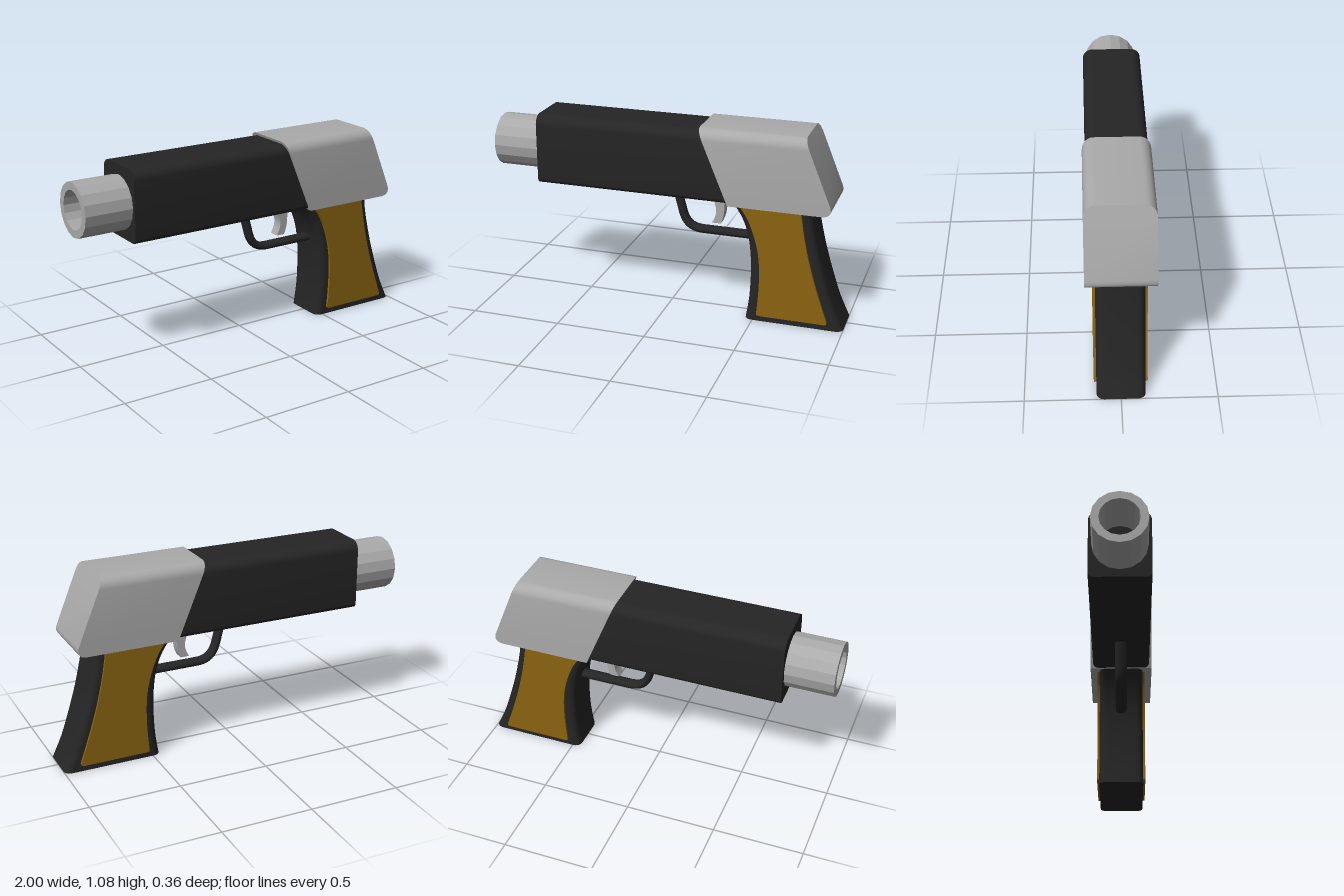
import * as THREE from 'three';
import { toCreasedNormals } from 'three/addons/utils/BufferGeometryUtils.js';

const metal = new THREE.MeshStandardMaterial({ color: 0xaaaaaa });
metal.name = 'grey metal';
const black = new THREE.MeshStandardMaterial({ color: 0x252525 });
black.name = 'black';
const wood = new THREE.MeshStandardMaterial({ color: 0x8b6510 });
wood.name = 'brown wood';

const v2 = pts => pts.map(p => new THREE.Vector2(...p));

// Skins a stack of rings ([x, y, z] points, counter-clockwise from above) and caps both ends
function loft(rings) {
  const pos = [], n = rings[0].length;
  const tri = (a, b, c) => pos.push(...a, ...b, ...c);
  for (let r = 0; r < rings.length - 1; r++) {
    const lo = rings[r], hi = rings[r + 1];
    for (let i = 0; i < n; i++) {
      const j = (i + 1) % n;
      tri(lo[i], lo[j], hi[j]);
      tri(lo[i], hi[j], hi[i]);
    }
  }
  const bottom = rings[0], top = rings[rings.length - 1];
  for (let i = 1; i < n - 1; i++) {
    tri(bottom[0], bottom[i + 1], bottom[i]);
    tri(top[0], top[i], top[i + 1]);
  }
  const g = new THREE.BufferGeometry();
  g.setAttribute('position', new THREE.Float32BufferAttribute(pos, 3));
  return toCreasedNormals(g, 0.6);
}

// Rounded rectangle ring between x0 and x1 at height y
function roundedRing(x0, x1, y, w, r) {
  const ring = [];
  const corners = [[x1 - r, r - w], [x0 + r, r - w], [x0 + r, w - r], [x1 - r, w - r]];
  corners.forEach(([cx, cz], q) => {
    for (let k = 0; k <= 5; k++) {
      const a = (q + k / 5) * Math.PI / 2;
      ring.push([cx + r * Math.cos(a), y, cz - r * Math.sin(a)]);
    }
  });
  return ring;
}

// Extrudes a side profile symmetrically about z = 0
function plate(shape, width) {
  const g = new THREE.ExtrudeGeometry(shape, { depth: width, bevelEnabled: false, curveSegments: 10 });
  g.translate(0, 0, -width / 2);
  return toCreasedNormals(g, 0.6);
}

export function createModel() {
  const group = new THREE.Group();
  const add = (name, geo, mat) => {
    const m = new THREE.Mesh(geo, mat);
    m.name = name;
    group.add(m);
    return m;
  };

  // Long body with rounded edges
  const w = 0.165, y0 = 0.675, y1 = 1.065, rt = 0.055, rb = 0.03;
  const section = new THREE.Shape();
  section.moveTo(-w + rb, y0);
  section.lineTo(w - rb, y0);
  section.absarc(w - rb, y0 + rb, rb, -Math.PI / 2, 0);
  section.absarc(w - rt, y1 - rt, rt, 0, Math.PI / 2);
  section.absarc(-w + rt, y1 - rt, rt, Math.PI / 2, Math.PI);
  section.absarc(-w + rb, y0 + rb, rb, Math.PI, Math.PI * 1.5);
  const body = new THREE.ExtrudeGeometry(section, { depth: 1.3, bevelEnabled: false, curveSegments: 6 });
  body.rotateY(Math.PI / 2);
  body.translate(-0.735, 0, 0);
  add('body', toCreasedNormals(body, 0.6), black);

  // Slanted rear cover: rounded on top and at the lower back edge
  const rows = [[0.672, 0.875, 0.18], [0.678, 0.896, 0.18], [0.69, 0.909, 0.18],
    [0.705, 0.914, 0.18], [0.725, 0.911, 0.18]];
  for (let k = 0; k <= 6; k++) {
    const a = k / 6 * Math.PI / 2, y = 1.02 + 0.06 * Math.sin(a);
    rows.push([y, 0.765 + (1.08 - y) * 0.411, 0.12 + 0.06 * Math.cos(a)]);
  }
  add('rearCover', loft(rows.map(([y, back, hw]) => {
    const front = 0.36 - (y - 0.672) * 0.417;
    return [[back, y, hw], [back, y, -hw], [front, y, -hw], [front, y, hw]];
  })), metal);

  // Faceted hollow barrel
  let barrel = new THREE.LatheGeometry(
    v2([[0.105, -0.5], [0.105, -1], [0.147, -1], [0.147, -0.7]]).reverse(), 16);
  barrel = barrel.toNonIndexed();
  barrel.computeVertexNormals();
  barrel.rotateZ(-Math.PI / 2);
  barrel.translate(0, 0.865, 0);
  const barrelMat = metal.clone();
  barrelMat.name = 'barrel metal';
  barrelMat.side = THREE.DoubleSide;
  add('barrel', barrel, barrelMat);
  const plug = new THREE.CircleGeometry(0.12, 16);
  plug.rotateY(-Math.PI / 2);
  plug.translate(-0.74, 0.865, 0);
  add('boreEnd', plug, black);

  // Curved grip, lofted between its front and back edges
  const frontEdge = new THREE.SplineCurve(v2([[0.455, 0], [0.472, 0.12], [0.478, 0.25],
    [0.474, 0.38], [0.455, 0.5], [0.415, 0.6], [0.35, 0.69]]));
  const backEdge = new THREE.SplineCurve(v2([[1, 0], [0.945, 0.13], [0.9, 0.25],
    [0.86, 0.38], [0.83, 0.5], [0.81, 0.6], [0.8, 0.69]]));
  const rings = [];
  for (let k = 0; k <= 18; k++) {
    const f = frontEdge.getPoint(k / 18), b = backEdge.getPoint(k / 18);
    rings.push(roundedRing(f.x, b.x, f.y, 0.127, 0.04));
  }
  add('grip', loft(rings), black);

  // Wooden panels showing on both sides of the grip
  const panel = new THREE.Shape();
  panel.moveTo(0.54, 0.035);
  panel.lineTo(0.9, 0.035);
  panel.quadraticCurveTo(0.92, 0.035, 0.912, 0.055);
  panel.splineThru(v2([[0.855, 0.22], [0.81, 0.37], [0.775, 0.52], [0.748, 0.68]]));
  panel.lineTo(0.405, 0.68);
  panel.splineThru(v2([[0.465, 0.59], [0.51, 0.47], [0.532, 0.35], [0.535, 0.2], [0.525, 0.05]]));
  panel.quadraticCurveTo(0.522, 0.035, 0.54, 0.035);
  add('gripPanels', plate(panel, 0.28), wood);

  // Trigger guard
  const path = new THREE.CurvePath();
  const p = (x, y) => new THREE.Vector3(x, y, 0);
  path.add(new THREE.LineCurve3(p(0.02, 0.7), p(0.06, 0.55)));
  path.add(new THREE.CubicBezierCurve3(p(0.06, 0.55), p(0.077, 0.485), p(0.11, 0.453), p(0.18, 0.453)));
  path.add(new THREE.LineCurve3(p(0.18, 0.453), p(0.5, 0.453)));
  add('triggerGuard', new THREE.TubeGeometry(path, 40, 0.0225, 12), black).scale.z = 1.5;

  // Curved trigger
  const trigger = new THREE.Shape();
  trigger.moveTo(0.21, 0.69);
  trigger.splineThru(v2([[0.24, 0.645], [0.258, 0.59], [0.255, 0.55], [0.236, 0.507]]));
  trigger.lineTo(0.285, 0.507);
  trigger.splineThru(v2([[0.3, 0.55], [0.306, 0.61], [0.305, 0.69]]));
  add('trigger', plate(trigger, 0.06), metal);

  return group;
}
